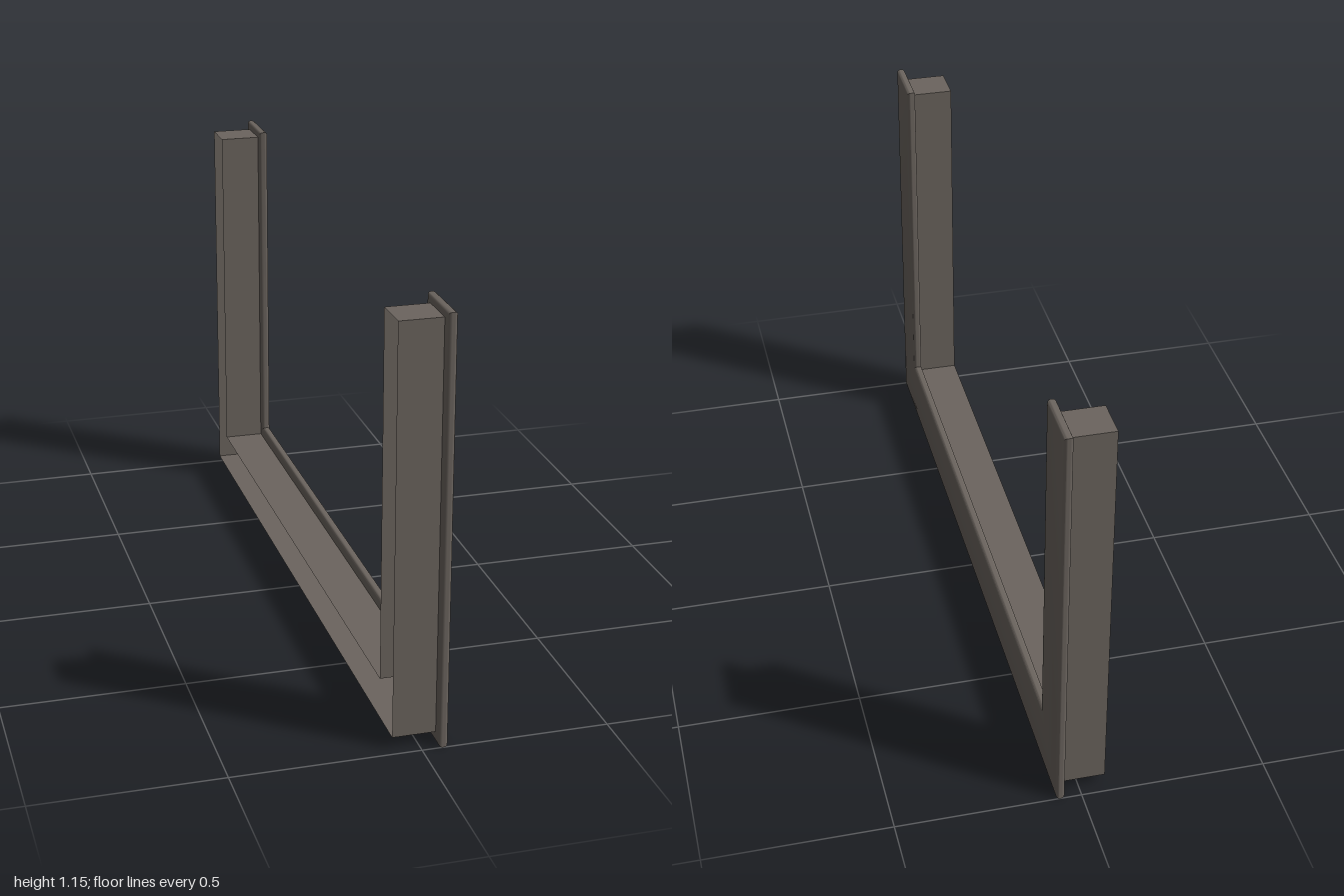
import * as THREE from 'three';
import { toCreasedNormals } from 'three/addons/utils/BufferGeometryUtils.js';

// U outline: half width, bottom, top, half width of the opening, sill height
function uOutline(outer, bottom, top, inner, sill) {
  return [
    [-outer, bottom], [outer, bottom], [outer, top], [inner, top],
    [inner, sill], [-inner, sill], [-inner, top], [-outer, top],
  ].map(([x, y]) => new THREE.Vector2(x, y));
}

// Walls that follow a closed outline (z, y) between two x positions, without caps
function wallGeometry(outline, x0, x1) {
  const pos = [];
  outline.forEach((a, i) => {
    const b = outline[(i + 1) % outline.length];
    // outline x runs along -z
    const p = [[x0, a.y, -a.x], [x1, a.y, -a.x], [x1, b.y, -b.x], [x0, b.y, -b.x]];
    for (const k of [0, 2, 1, 0, 3, 2]) pos.push(...p[k]);
  });
  const g = new THREE.BufferGeometry();
  g.setAttribute('position', new THREE.Float32BufferAttribute(pos, 3));
  g.computeVertexNormals();
  return g;
}

export function createModel() {
  const model = new THREE.Group();
  model.name = 'uFrame';

  const bronze = new THREE.MeshStandardMaterial({ color: 0x6b645e, side: THREE.DoubleSide });
  bronze.name = 'dark bronze';

  // Face plate with rounded edges
  const bevel = 0.009;
  const plate = new THREE.ExtrudeGeometry(new THREE.Shape(uOutline(1, 0, 1.155, 0.833, 0.17)), {
    depth: 0.024 - 2 * bevel,
    bevelThickness: bevel,
    bevelSize: bevel,
    bevelOffset: -bevel,
    bevelSegments: 4,
  });
  plate.translate(0, 0, 0.045 + bevel);
  plate.rotateY(Math.PI / 2);
  const facePlate = new THREE.Mesh(toCreasedNormals(plate, 0.6), bronze);
  facePlate.name = 'facePlate';
  model.add(facePlate);

  // Hollow channel behind the plate, open on its far side
  const channel = new THREE.Mesh(
    wallGeometry(uOutline(0.97, 0.03, 1.135, 0.86, 0.14), -0.07, 0.047), bronze);
  channel.name = 'channel';
  model.add(channel);

  return model;
}
